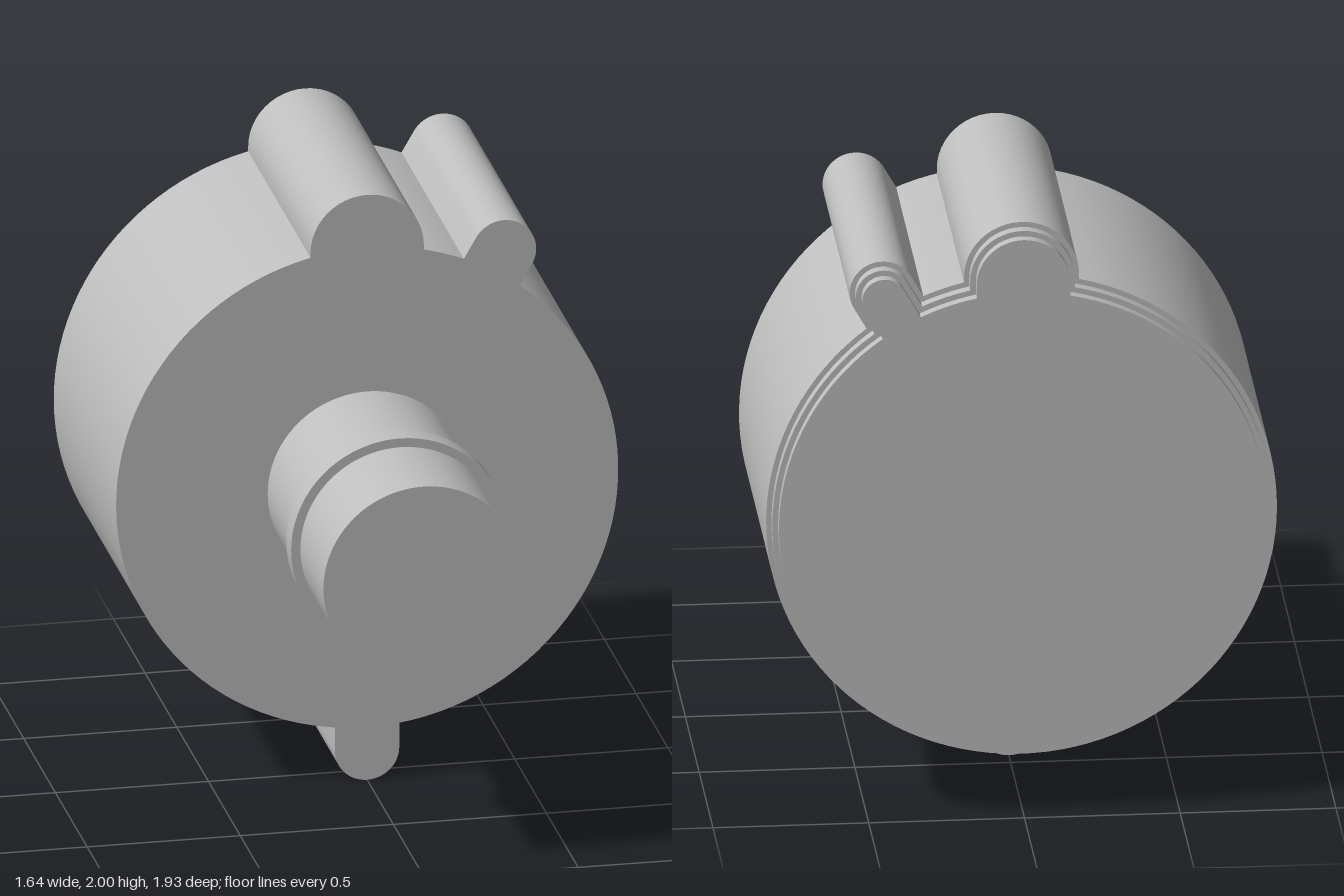
import * as THREE from 'three';
import { toCreasedNormals } from 'three/addons/utils/BufferGeometryUtils.js';

const BODY_RADIUS = 0.82;
// Lugs around the body: direction, distance of the rounded tip's centre, half width
const TOP_LUG = { angle: Math.PI / 2, distance: 0.815, radius: 0.185 };
const SIDE_LUG = { angle: Math.PI / 3, distance: 0.894, radius: 0.105 };
const BOTTOM_LUG = { angle: -Math.PI / 2, distance: 0.895, radius: 0.105 };

// Points along an arc, both ends included
function arc(cx, cy, radius, from, to, steps) {
  return Array.from({ length: steps + 1 }, (_, i) => {
    const a = from + (to - from) * i / steps;
    return new THREE.Vector2(cx + radius * Math.cos(a), cy + radius * Math.sin(a));
  });
}

function lugTip({ angle, distance, radius }, inset = 0) {
  return arc(distance * Math.cos(angle), distance * Math.sin(angle), radius - inset,
    angle - Math.PI / 2, angle + Math.PI / 2, 24);
}

// Round body with the two long lugs, shrunk evenly by inset
function bodyOutline(inset) {
  const r = BODY_RADIUS - inset;
  const half = (lug) => Math.asin((lug.radius - inset) / r);
  const sideEnd = SIDE_LUG.angle + half(SIDE_LUG);
  const topStart = TOP_LUG.angle - half(TOP_LUG);
  return [
    ...arc(0, 0, r, TOP_LUG.angle + half(TOP_LUG), 2 * Math.PI + SIDE_LUG.angle - half(SIDE_LUG), 96),
    ...lugTip(SIDE_LUG, inset),
    ...arc(0, 0, r, sideEnd, topStart, 6),
    ...lugTip(TOP_LUG, inset),
  ];
}

export function createModel() {
  const model = new THREE.Group();
  model.name = 'shaftUnit';
  const grey = new THREE.MeshStandardMaterial({ color: 0xbebebe });
  grey.name = 'plain grey';

  // Extrude an outline centred on the shaft axis between two depths
  function addPart(name, points, zBack, zFront) {
    const solid = new THREE.ExtrudeGeometry(new THREE.Shape(points), {
      depth: zFront - zBack, bevelEnabled: false,
    });
    const mesh = new THREE.Mesh(toCreasedNormals(solid, 0.4), grey);
    mesh.name = name;
    mesh.position.set(0, 1, zBack);
    model.add(mesh);
  }

  // Housing and its two stepped rear layers
  addPart('housing', bodyOutline(0), -0.895, 0.088);
  addPart('rearStep', bodyOutline(0.017), -0.932, -0.895);
  addPart('rearPlate', bodyOutline(0.035), -0.967, -0.932);

  // Short lug underneath, its upper edge following the housing
  const half = Math.asin(BOTTOM_LUG.radius / BODY_RADIUS);
  addPart('bottomLug', [
    ...lugTip(BOTTOM_LUG),
    ...arc(0, 0, BODY_RADIUS - 0.002, BOTTOM_LUG.angle + half, BOTTOM_LUG.angle - half, 8),
  ], -0.435, 0.088);

  // Shaft with one flat side, and the collar around it
  const flat = Math.acos(0.235 / 0.325);
  addPart('shaft', arc(0, 0.003, 0.325, flat, 2 * Math.PI - flat, 64), 0.088, 0.967);
  addPart('collar', arc(0, 0.003, 0.355, 0, 2 * Math.PI, 72).slice(0, -1), 0.527, 0.603);

  return model;
}
